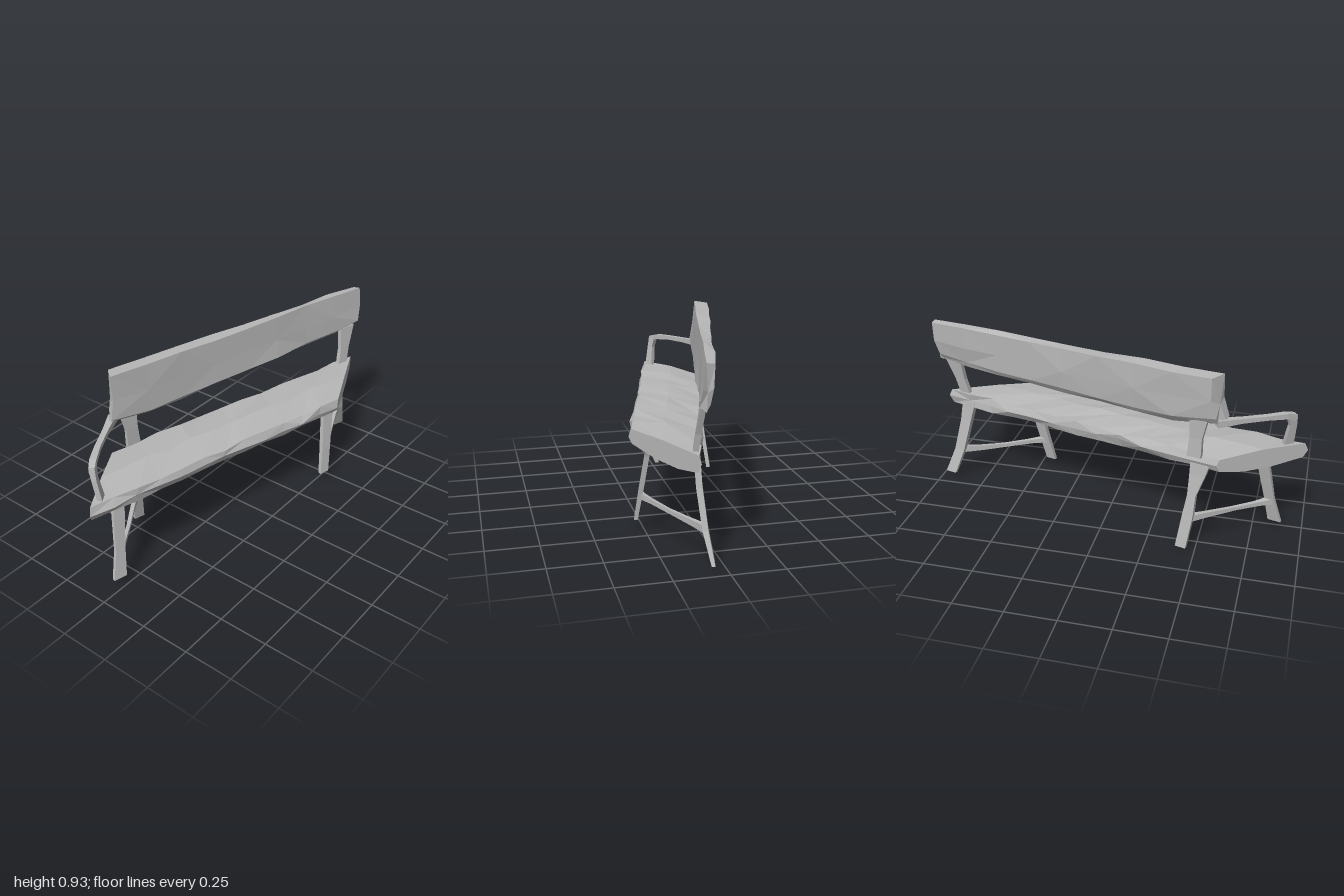
import * as THREE from 'three';

const V = (x, y, z) => new THREE.Vector3(x, y, z);
const UP = V(0, 1, 0);
const ALONG = V(0.249, 0, -0.969); // length direction of the bench
const ACROSS = V(0.969, 0, 0.249); // from the backrest towards the sitter

export function createModel() {
  const bench = new THREE.Group();
  bench.name = 'rusticBench';
  const wood = new THREE.MeshStandardMaterial({ color: 0xb8b8b8 });
  wood.name = 'weatheredWood';
  wood.flatShading = true;

  // Seeded noise for hewn surfaces
  let seed = 11;
  const rough = (a) => {
    seed = (seed * 16807) % 2147483647;
    return (seed / 2147483647 - 0.5) * 2 * a;
  };

  // Closed skin over a row of cross-sections, capped at both ends
  function loft(name, rings) {
    const n = rings[0].length;
    const tris = [];
    for (let i = 0; i < rings.length - 1; i++) {
      for (let j = 0; j < n; j++) {
        const k = (j + 1) % n;
        const [a, b, c, d] = [rings[i][j], rings[i][k], rings[i + 1][k], rings[i + 1][j]];
        if ((i + j) % 2) tris.push([a, b, c], [a, c, d]);
        else tris.push([a, b, d], [b, c, d]);
      }
    }
    const cap = (ring, flip) => {
      const mid = ring.reduce((s, p) => s.add(p), V(0, 0, 0)).divideScalar(n);
      ring.forEach((p, j) => {
        const q = ring[(j + 1) % n];
        tris.push(flip ? [mid, q, p] : [mid, p, q]);
      });
    };
    cap(rings[0], true);
    cap(rings[rings.length - 1], false);
    // Turn the faces outward when the enclosed volume comes out negative
    const o = rings[0][0];
    const volume = tris.reduce((s, [a, b, c]) =>
      s + a.clone().sub(o).dot(b.clone().sub(o).cross(c.clone().sub(o))), 0);
    if (volume < 0) tris.forEach((t) => t.reverse());
    const geometry = new THREE.BufferGeometry().setFromPoints(tris.flat());
    geometry.computeVertexNormals();
    const mesh = new THREE.Mesh(geometry, wood);
    mesh.name = name;
    bench.add(mesh);
  }

  // Four-sided timber; each stop is [x, y, z, half size on axis 1, half size on axis 2]
  function timber(name, axis1, axis2, stops) {
    loft(name, stops.map(([x, y, z, w, d]) =>
      [[-1, -1], [1, -1], [1, 1], [-1, 1]].map(([s, t]) =>
        V(x, y, z).addScaledVector(axis1, s * w).addScaledVector(axis2, t * d))));
  }

  // Seat: thick slab with skewed ends
  const seat = [];
  const seatSteps = 12;
  for (let i = 0; i <= seatSteps; i++) {
    const t = i / seatSteps;
    const inner = i > 0 && i < seatSteps ? 1 : 0;
    const back = V(-0.3, 0, 0.58).lerp(V(0.115, 0, -0.94), t);
    const front = V(-0.045, 0, 0.99).lerp(V(0.328, 0, -0.46), t);
    // [position from back to front, height]
    const section = [
      [0.03, 0.515], [0.5, 0.53], [0.96, 0.52], [1, 0.485],
      [0.95, 0.45], [0.6, 0.43], [0.3, 0.428], [0.04, 0.442], [0, 0.48],
    ];
    seat.push(section.map(([s, y]) => {
      const p = back.clone().lerp(front, s);
      p.y = y + rough(0.006);
      return p.addScaledVector(ACROSS, inner * rough(0.01));
    }));
  }
  loft('seat', seat);

  // Backrest: upright plank leaning slightly back
  const backrest = [];
  const top = [0.94, 0.938, 0.937, 0.93, 0.927, 0.925, 0.928, 0.93, 0.92];
  const bottom = [0.7, 0.668, 0.668, 0.672, 0.676, 0.682, 0.687, 0.692, 0.71];
  top.forEach((yTop, i) => {
    const t = i / (top.length - 1);
    const inner = i > 0 && i < top.length - 1 ? 1 : 0;
    const rear = V(-0.325, 0, 0.54).lerp(V(0.075, 0, -0.985), t);
    const face = V(-0.265, 0, 0.59).lerp(V(0.112, 0, -0.985), t);
    const yLow = bottom[i];
    const yMid = (yTop + yLow) / 2;
    // [plank side, forward shift, height]
    const section = [
      [rear, 0, yTop - 0.005], [face, 0, yTop], [face, 0.012, yMid], [face, 0.02, yLow + 0.025],
      [face, -0.01, yLow], [rear, 0.03, yLow], [rear, 0.012, yLow + 0.03], [rear, 0.004, yMid],
    ];
    backrest.push(section.map(([p, s, y]) => {
      const q = p.clone().addScaledVector(ACROSS, s + inner * rough(0.006));
      q.y = y + inner * rough(0.004);
      // Lower corners of the near end stick out a little
      if (i === 0 && y < 0.8) q.z += 0.025;
      if (!inner && i > 0 && y < 0.8) q.z += 0.02;
      return q;
    }));
  });
  loft('backrest', backrest);

  // Splayed legs
  const legs = {
    rearRightLeg: [
      [-0.262, 0.46, 0.5, 0.048, 0.012], [-0.264, 0.4, 0.49, 0.04, 0.011],
      [-0.272, 0.29, 0.468, 0.022, 0.011], [-0.285, 0.18, 0.455, 0.028, 0.011],
      [-0.308, 0.006, 0.428, 0.028, 0.01],
    ],
    frontRightLeg: [
      [-0.085, 0.46, 0.775, 0.034, 0.014], [-0.078, 0.4, 0.787, 0.03, 0.012],
      [-0.046, 0.19, 0.828, 0.026, 0.009], [-0.026, 0.05, 0.862, 0.034, 0.009],
    ],
    rearLeftLeg: [
      [0.1, 0.47, -0.815, 0.04, 0.014], [0.098, 0.36, -0.84, 0.032, 0.014],
      [0.082, 0.18, -0.885, 0.03, 0.013], [0.061, 0.038, -0.942, 0.032, 0.008],
    ],
    frontLeftLeg: [
      [0.24, 0.46, -0.5, 0.045, 0.014], [0.248, 0.4, -0.49, 0.032, 0.012],
      [0.271, 0.22, -0.455, 0.028, 0.012], [0.29, 0.07, -0.425, 0.028, 0.009],
    ],
  };
  for (const [name, stops] of Object.entries(legs)) timber(name, ALONG, ACROSS, stops);

  // Small brace stub beside the front left leg
  timber('braceStub', ALONG, ACROSS, [
    [0.232, 0.45, -0.54, 0.05, 0.014], [0.222, 0.392, -0.578, 0.014, 0.008],
  ]);

  // Stretchers between the legs of each end
  timber('rightStretcher', ALONG, UP, [
    [-0.285, 0.165, 0.46, 0.02, 0.017], [-0.24, 0.166, 0.53, 0.014, 0.014],
    [-0.15, 0.166, 0.66, 0.012, 0.009], [-0.08, 0.168, 0.77, 0.014, 0.011],
    [-0.045, 0.172, 0.83, 0.02, 0.016],
  ]);
  timber('leftStretcher', ALONG, UP, [
    [0.08, 0.178, -0.89, 0.02, 0.018], [0.12, 0.177, -0.79, 0.014, 0.014],
    [0.18, 0.18, -0.66, 0.012, 0.01], [0.24, 0.189, -0.53, 0.014, 0.011],
    [0.27, 0.193, -0.46, 0.02, 0.015],
  ]);

  // Backrest posts
  timber('rightBackPost', ALONG, ACROSS, [
    [-0.266, 0.5, 0.47, 0.036, 0.012], [-0.268, 0.6, 0.475, 0.032, 0.01],
    [-0.276, 0.7, 0.485, 0.044, 0.01],
  ]);
  timber('leftBackPost', ALONG, ACROSS, [
    [0.115, 0.5, -0.835, 0.03, 0.012], [0.108, 0.6, -0.86, 0.03, 0.012],
    [0.098, 0.72, -0.89, 0.048, 0.012],
  ]);

  // Single armrest with its post
  const armSide = V(0.84, 0, -0.54);
  timber('armrest', armSide, UP, [
    [-0.29, 0.7, 0.57, 0.02, 0.018], [-0.23, 0.7, 0.68, 0.014, 0.012],
    [-0.17, 0.698, 0.79, 0.014, 0.011], [-0.115, 0.692, 0.875, 0.016, 0.014],
    [-0.085, 0.676, 0.915, 0.014, 0.018],
  ]);
  timber('armrestPost', V(0.54, 0, 0.84), armSide, [
    [-0.094, 0.69, 0.9, 0.022, 0.014], [-0.082, 0.63, 0.905, 0.018, 0.012],
    [-0.068, 0.51, 0.89, 0.026, 0.012],
  ]);

  return bench;
}
